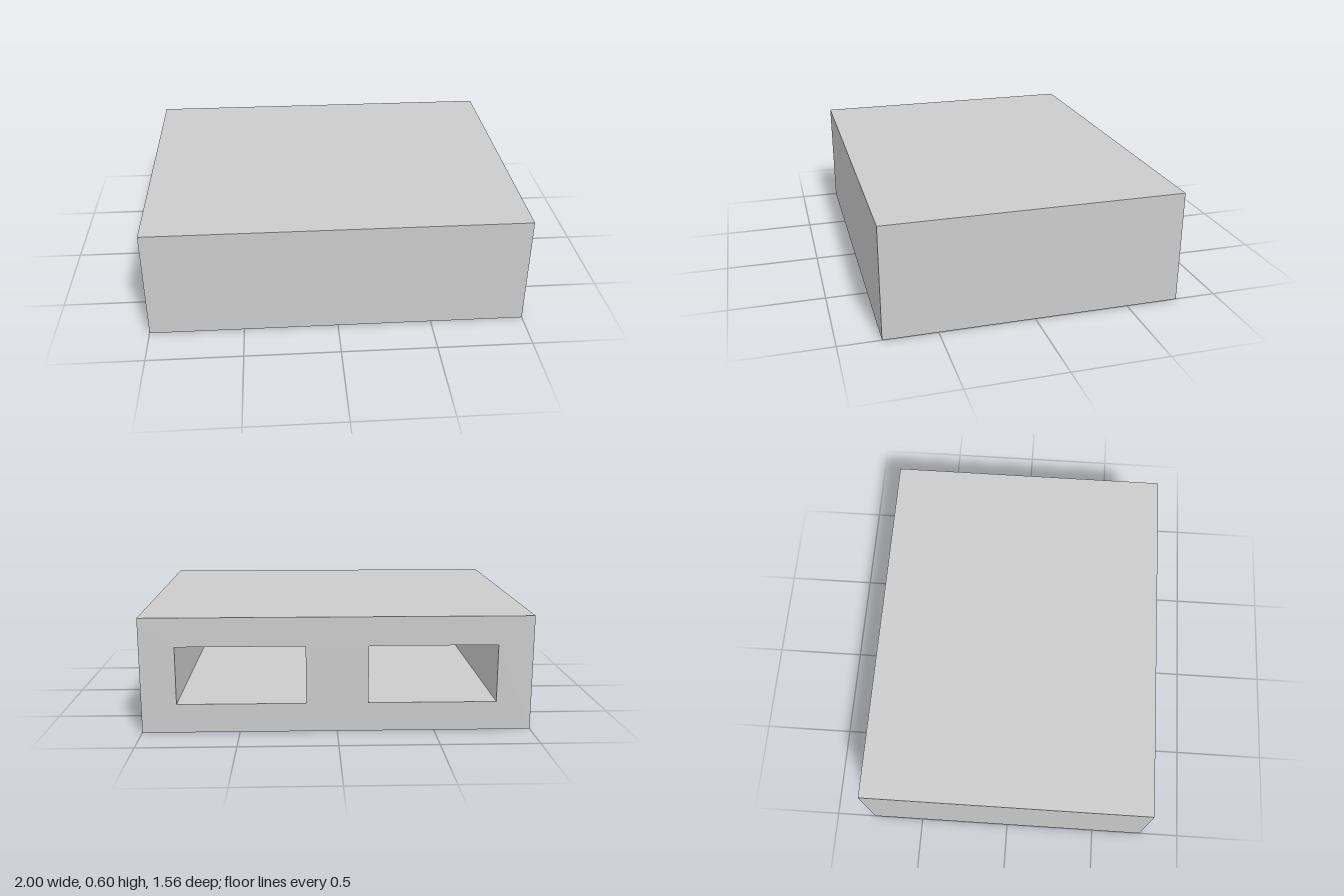
import * as THREE from 'three';

const W = 2, H = 0.6, D = 1.56;          // overall size
const holeW = 0.66, holeH = 0.3;         // rear openings
const holeX = 0.49, holeY = 0.3;         // opening centres (mirrored in x)
const frontWall = 0.18;                  // thickness left in front of the bays

const material = new THREE.MeshStandardMaterial({ color: 0xcccccc });

// Box without its rear (-z) face; inward = true turns the faces to the inside
function openBox(w, h, d, inward) {
  const box = new THREE.BoxGeometry(w, h, d);
  const index = Array.from(box.index.array).slice(0, 30);
  if (inward) index.reverse();
  box.setIndex(index);
  box.clearGroups();
  const geometry = box.toNonIndexed();
  geometry.computeVertexNormals();
  return geometry;
}

function rectangle(path, cx, cy, w, h) {
  path.moveTo(cx - w / 2, cy - h / 2);
  path.lineTo(cx + w / 2, cy - h / 2);
  path.lineTo(cx + w / 2, cy + h / 2);
  path.lineTo(cx - w / 2, cy + h / 2);
  path.closePath();
  return path;
}

export function createModel() {
  const model = new THREE.Group();
  model.name = 'openBackCabinet';

  const add = (name, geometry, x, y, z) => {
    const mesh = new THREE.Mesh(geometry, material);
    mesh.name = name;
    mesh.position.set(x, y, z);
    model.add(mesh);
    return mesh;
  };

  // Outer casing: top, bottom, sides and plain front
  add('casing', openBox(W, H, D, false), 0, H / 2, 0);

  // Rear panel with two rectangular openings
  const panel = rectangle(new THREE.Shape(), 0, H / 2, W, H);
  for (const s of [-1, 1]) {
    panel.holes.push(rectangle(new THREE.Path(), s * holeX, holeY, holeW, holeH));
  }
  const rear = new THREE.ShapeGeometry(panel);
  rear.rotateY(Math.PI);
  add('rearPanel', rear, 0, 0, -D / 2);

  // Deep bays behind the openings
  const depth = D - frontWall;
  for (const s of [-1, 1]) {
    add(s > 0 ? 'leftBay' : 'rightBay', openBox(holeW, holeH, depth, true),
      s * holeX, holeY, -D / 2 + depth / 2);
  }

  return model;
}
